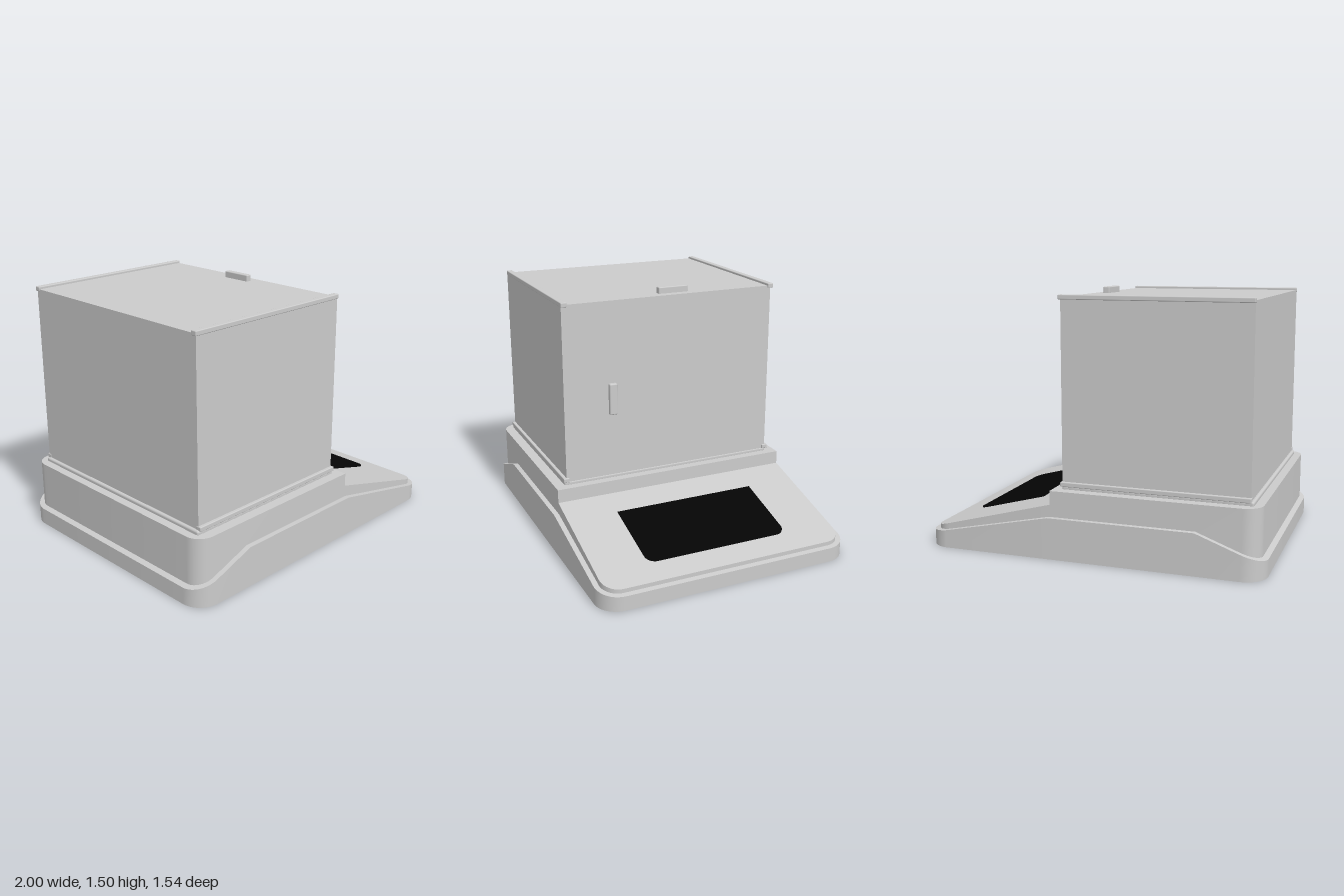
import * as THREE from 'three';
import { toCreasedNormals } from 'three/addons/utils/BufferGeometryUtils.js';
import { RoundedBoxGeometry } from 'three/addons/geometries/RoundedBoxGeometry.js';

const grey = new THREE.MeshStandardMaterial({ color: 0xcccccc });
const black = new THREE.MeshStandardMaterial({ color: 0x050505 });

// Height of a polyline profile [[x, y], ...] at x
function heightAt(profile, x) {
  for (let i = 1; i < profile.length; i++) {
    const [x0, y0] = profile[i - 1], [x1, y1] = profile[i];
    if (x <= x1 + 1e-6) return y0 + (y1 - y0) * (x - x0) / (x1 - x0);
  }
  return profile[profile.length - 1][1];
}

// Solid with a rounded-rectangle plan whose top follows a profile along x
function profiledSlab(hx, hz, r, y0, profile) {
  const steps = 10;
  const xs = new Set(profile.map(p => p[0]));
  for (let i = 0; i <= steps; i++) {
    const d = +(hx - r + r * Math.sin(i / steps * Math.PI / 2)).toFixed(5);
    xs.add(d);
    xs.add(-d);
  }
  const rings = [...xs].sort((a, b) => a - b).map(x => {
    const d = Math.min(r, Math.max(0, Math.abs(x) - (hx - r)));
    const w = hz - r + Math.sqrt(r * r - d * d);
    const h = heightAt(profile, x);
    return [[x, y0, w], [x, h, w], [x, h, -w], [x, y0, -w]];
  });
  const pos = [];
  const quad = (a, b, c, d) => pos.push(...a, ...b, ...c, ...a, ...c, ...d);
  for (let i = 0; i < rings.length - 1; i++) {
    for (let k = 0; k < 4; k++) {
      const n = (k + 1) % 4;
      quad(rings[i][k], rings[i + 1][k], rings[i + 1][n], rings[i][n]);
    }
  }
  const first = rings[0], last = rings[rings.length - 1];
  quad(first[0], first[1], first[2], first[3]);
  quad(last[3], last[2], last[1], last[0]);
  const geo = new THREE.BufferGeometry();
  geo.setAttribute('position', new THREE.Float32BufferAttribute(pos, 3));
  geo.computeVertexNormals();
  return toCreasedNormals(geo, Math.PI / 6);
}

export function createModel() {
  const model = new THREE.Group();
  model.name = 'laboratoryBalance';

  const add = (name, geo, mat = grey) => {
    const mesh = new THREE.Mesh(geo, mat);
    mesh.name = name;
    model.add(mesh);
    return mesh;
  };
  // Box given by its limits, optionally with rounded edges
  const block = (name, x0, x1, y0, y1, z0, z1, r = 0) => {
    const size = [x1 - x0, y1 - y0, z1 - z0];
    const geo = r ? new RoundedBoxGeometry(...size, 2, r) : new THREE.BoxGeometry(...size);
    add(name, geo).position.set((x0 + x1) / 2, (y0 + y1) / 2, (z0 + z1) / 2);
  };

  // Lower tray with a raised middle
  add('baseTray', profiledSlab(1, 0.77, 0.13, 0,
    [[-1, 0.1], [-0.62, 0.24], [0.23, 0.24], [0.88, 0.103], [1, 0.085]]));

  // Upper housing: flat deck, step, sloping control panel
  add('housing', profiledSlab(0.97, 0.74, 0.1, 0.03,
    [[-0.97, 0.39], [0.225, 0.39], [0.226, 0.31], [0.97, 0.113]]));

  // Weighing chamber on its plinth
  block('chamberPlinth', -0.922, 0.175, 0.38, 0.412, -0.68, 0.68, 0.012);
  block('weighingChamber', -0.905, 0.172, 0.4, 1.467, -0.675, 0.667);

  // Sliding door rails along the top and bottom edges
  for (const [name, y, zFront, zBack] of [['topRail', 1.454, 0.652, -0.673], ['bottomRail', 0.406, 0.668, -0.673]]) {
    for (const z of [zFront, zBack]) {
      block(name, -0.908, 0.181, y, y + 0.027, z - 0.018, z + 0.018, 0.005);
    }
  }

  // Door handles
  block('topHandle', 0.085, 0.122, 1.46, 1.505, -0.138, 0.048, 0.006);
  block('sideHandle', 0.165, 0.196, 0.79, 0.98, 0.345, 0.393, 0.008);

  // Display lying on the slope, rounded at its lower corners
  const slope = Math.atan2(0.31 - 0.113, 0.97 - 0.226);
  const w = 0.435 / Math.cos(slope), h = 0.438, r = 0.06;
  const s = new THREE.Shape();
  s.moveTo(0, -h);
  s.lineTo(w - r, -h);
  s.absarc(w - r, -h + r, r, -Math.PI / 2, 0);
  s.absarc(w - r, h - r, r, 0, Math.PI / 2);
  s.lineTo(0, h);
  s.closePath();
  const panel = new THREE.ExtrudeGeometry(s, { depth: 0.012, bevelEnabled: false, curveSegments: 8 });
  panel.rotateX(-Math.PI / 2).rotateZ(-slope);
  add('display', panel, black).position.set(0.395, 0.31 - (0.395 - 0.226) * Math.tan(slope) - 0.007, 0);

  return model;
}
